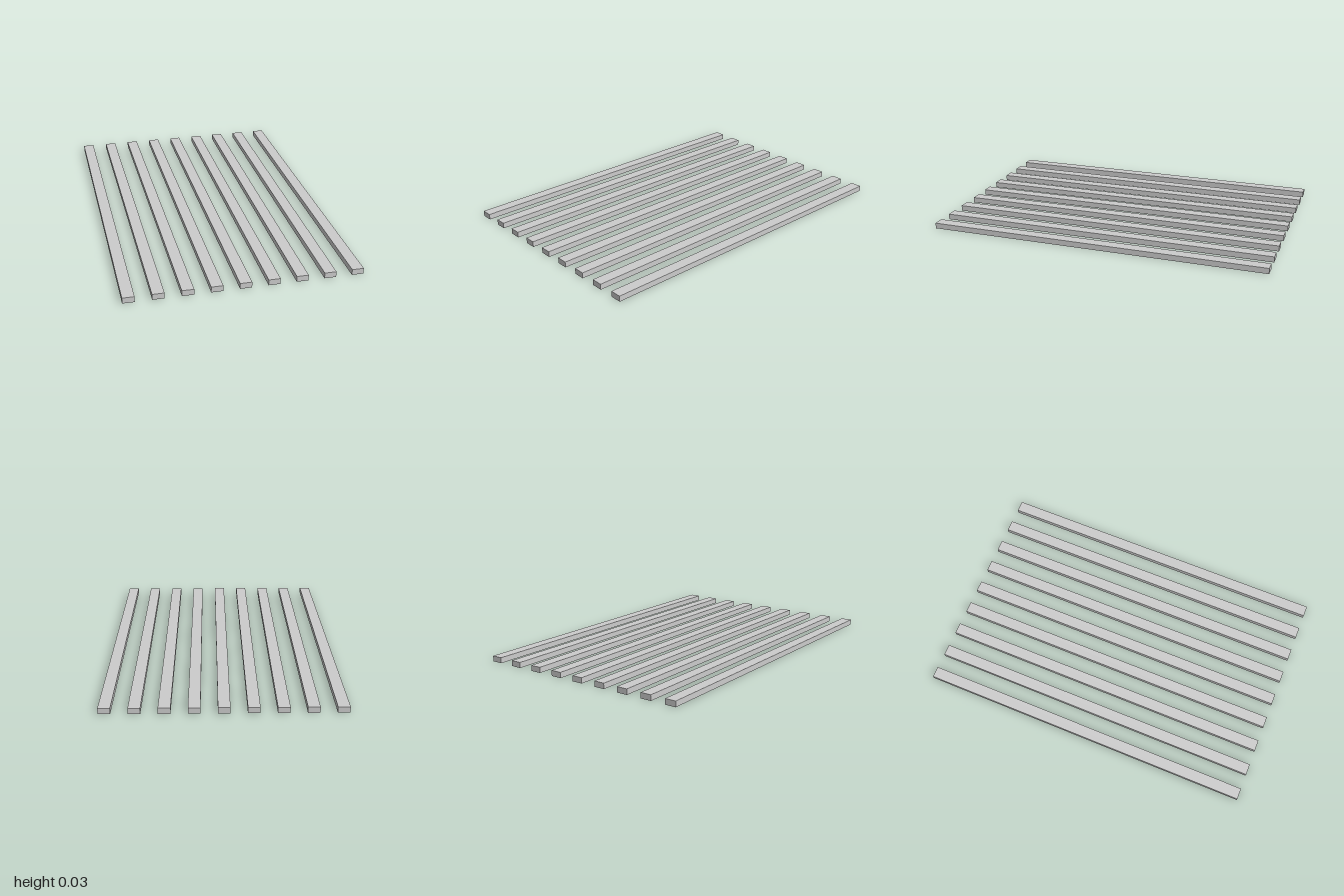
import * as THREE from 'three';

export function createModel() {
  const group = new THREE.Group();
  group.name = 'slats';
  const material = new THREE.MeshStandardMaterial({ color: 0xcccccc, flatShading: true });

  // Nine identical parallel slats, evenly spaced across x
  const count = 9, pitch = 0.157, width = 0.066, height = 0.033, length = 2;
  const geometry = new THREE.BoxGeometry(width, height, length);
  for (let i = 0; i < count; i++) {
    const slat = new THREE.Mesh(geometry, material);
    slat.name = `slat${i + 1}`;
    slat.position.set((i - (count - 1) / 2) * pitch, height / 2, 0);
    group.add(slat);
  }
  return group;
}
